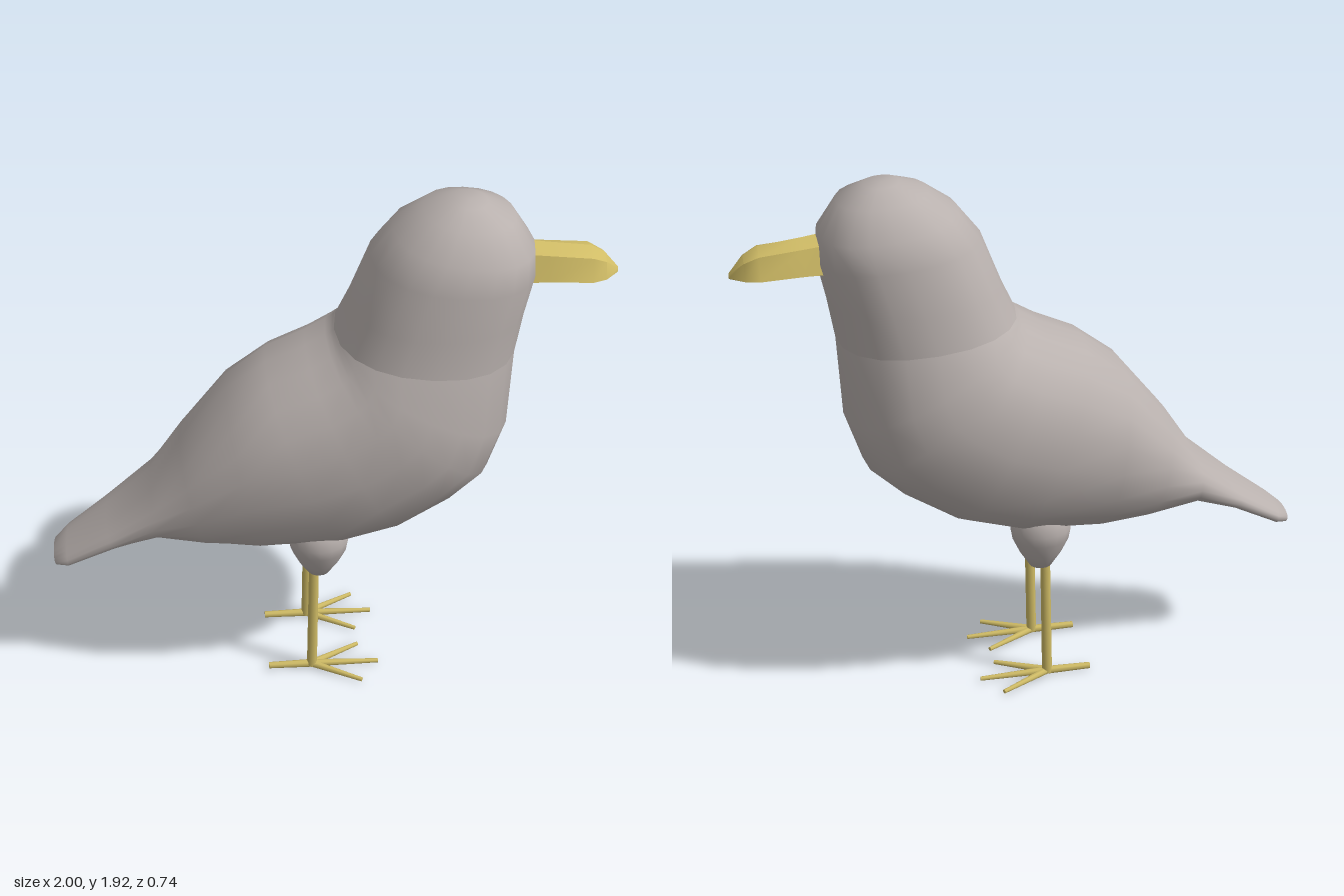
import * as THREE from 'three';
import { toCreasedNormals } from 'three/addons/utils/BufferGeometryUtils.js';

const V = (x, y, z) => new THREE.Vector3(x, y, z);

// Skin a series of closed rings, with caps where wanted
function loft(rings, capStart, capEnd) {
  const n = rings[0].length, pos = [], idx = [];
  rings.forEach(r => r.forEach(p => pos.push(p.x, p.y, p.z)));
  for (let i = 0; i < rings.length - 1; i++) {
    for (let j = 0; j < n; j++) {
      const k = (j + 1) % n;
      const a = i * n + j, b = i * n + k, c = a + n, d = b + n;
      idx.push(a, b, c, b, d, c);
    }
  }
  const cap = (row, flip) => {
    const centre = pos.length / 3, mid = V(0, 0, 0);
    rings[row].forEach(p => mid.add(p));
    mid.divideScalar(n);
    pos.push(mid.x, mid.y, mid.z);
    for (let j = 0; j < n; j++) {
      const a = row * n + j, b = row * n + (j + 1) % n;
      idx.push(centre, flip ? b : a, flip ? a : b);
    }
  };
  if (capStart) cap(0, true);
  if (capEnd) cap(rings.length - 1, false);
  const g = new THREE.BufferGeometry();
  g.setAttribute('position', new THREE.Float32BufferAttribute(pos, 3));
  g.setIndex(idx);
  g.computeVertexNormals();
  return g;
}

// Rounded ring spanning a back point and a belly point, with half-width w
function ring([tx, ty, bx, by, w], sides = 20) {
  const pts = [], soft = v => Math.sign(v) * Math.abs(v) ** 0.9;
  for (let j = 0; j < sides; j++) {
    const a = (j / sides) * Math.PI * 2, c = soft(Math.cos(a)), s = soft(Math.sin(a));
    pts.push(V((tx + bx) / 2 + c * (tx - bx) / 2, (ty + by) / 2 + c * (ty - by) / 2, s * w));
  }
  return pts;
}

export function createModel() {
  const grey = new THREE.MeshStandardMaterial({ color: 0xb9b1ae });
  grey.name = 'plumageGrey';
  const yellow = new THREE.MeshStandardMaterial({ color: 0xd0bc66 });
  yellow.name = 'beakYellow';

  const bird = new THREE.Group();
  bird.name = 'bird';
  const add = (name, geometry, material, parent = bird) => {
    const m = new THREE.Mesh(geometry, material);
    m.name = name;
    parent.add(m);
    return m;
  };

  // Body from tail tip to neck: back x, y, belly x, y, half-width
  const neck = [0.03, 1.44, 0.655, 1.38, 0.3];
  const body = [
    [-1.0, 0.54, -0.985, 0.5, 0.075],
    [-0.95, 0.58, -0.94, 0.515, 0.115],
    [-0.8, 0.69, -0.76, 0.61, 0.155],
    [-0.63, 0.835, -0.61, 0.655, 0.195],
    [-0.52, 1.0, -0.42, 0.615, 0.25],
    [-0.35, 1.21, -0.24, 0.6, 0.315],
    [-0.21, 1.315, 0.07, 0.62, 0.355],
    [-0.07, 1.375, 0.27, 0.68, 0.368],
    [0.0, 1.415, 0.46, 0.8, 0.368],
    [0.015, 1.425, 0.58, 0.91, 0.362],
    [0.025, 1.435, 0.64, 1.09, 0.345],
    neck,
  ];
  add('body', loft(body.map(r => ring(r)), true, false), grey);

  // Head, meeting the body in a crease at the neck
  const head = [
    neck,
    [0.08, 1.55, 0.68, 1.53, 0.278],
    [0.15, 1.73, 0.71, 1.67, 0.265],
    [0.225, 1.825, 0.705, 1.76, 0.235],
    [0.325, 1.895, 0.635, 1.87, 0.16],
    [0.42, 1.928, 0.54, 1.92, 0.07],
  ];
  add('head', loft(head.map(r => ring(r)), false, true), grey);

  // Beak sections: x, ridge y, shoulder y, edge y, keel y, half-width
  const beak = [
    [0.66, 1.765, 1.735, 1.64, 1.61, 0.08],
    [0.75, 1.75, 1.725, 1.64, 1.615, 0.083],
    [0.9, 1.73, 1.71, 1.635, 1.615, 0.09],
    [0.95, 1.7, 1.685, 1.63, 1.615, 0.065],
    [1.0, 1.64, 1.637, 1.625, 1.62, 0.008],
  ].map(([x, ridge, shoulder, edge, keel, w]) => [
    V(x, ridge, 0), V(x, shoulder, w * 0.65), V(x, edge, w),
    V(x, keel, 0), V(x, edge, -w), V(x, shoulder, -w * 0.65),
  ]);
  add('beak', toCreasedNormals(loft(beak, true, true), 0.6), yellow);

  // Tapered rod between two points
  const rod = (name, a, b, r0, r1, parent) => {
    const dir = b.clone().sub(a);
    const m = add(name, new THREE.CylinderGeometry(r1, r0, dir.length(), 8), yellow, parent);
    m.position.copy(a).add(b).multiplyScalar(0.5);
    m.quaternion.setFromUnitVectors(V(0, 1, 0), dir.normalize());
  };

  // Thigh, shank and toes, one set per side
  const thigh = [[0, 0.48], [0.04, 0.485], [0.075, 0.54], [0.103, 0.6], [0.11, 0.64],
    [0.1, 0.69], [0.06, 0.74], [0, 0.76]].map(p => new THREE.Vector2(...p));
  for (const side of [1, -1]) {
    const leg = new THREE.Group();
    leg.name = side > 0 ? 'rightLeg' : 'leftLeg';
    leg.position.z = side * 0.145;
    bird.add(leg);
    const t = add('thigh', new THREE.LatheGeometry(thigh, 16), grey, leg);
    t.position.x = -0.035;
    t.scale.z = 0.88;
    rod('shank', V(-0.062, 0.015, 0), V(-0.052, 0.52, 0), 0.019, 0.018, leg);
    rod('backToe', V(-0.05, 0.02, 0), V(-0.225, 0.02, 0), 0.015, 0.012, leg);
    for (const [x, z] of [[0.19, 0], [0.12, 0.1], [0.12, -0.1]]) {
      rod('frontToe', V(-0.065, 0.02, 0), V(x, 0.014, z), 0.014, 0.008, leg);
    }
  }
  return bird;
}
